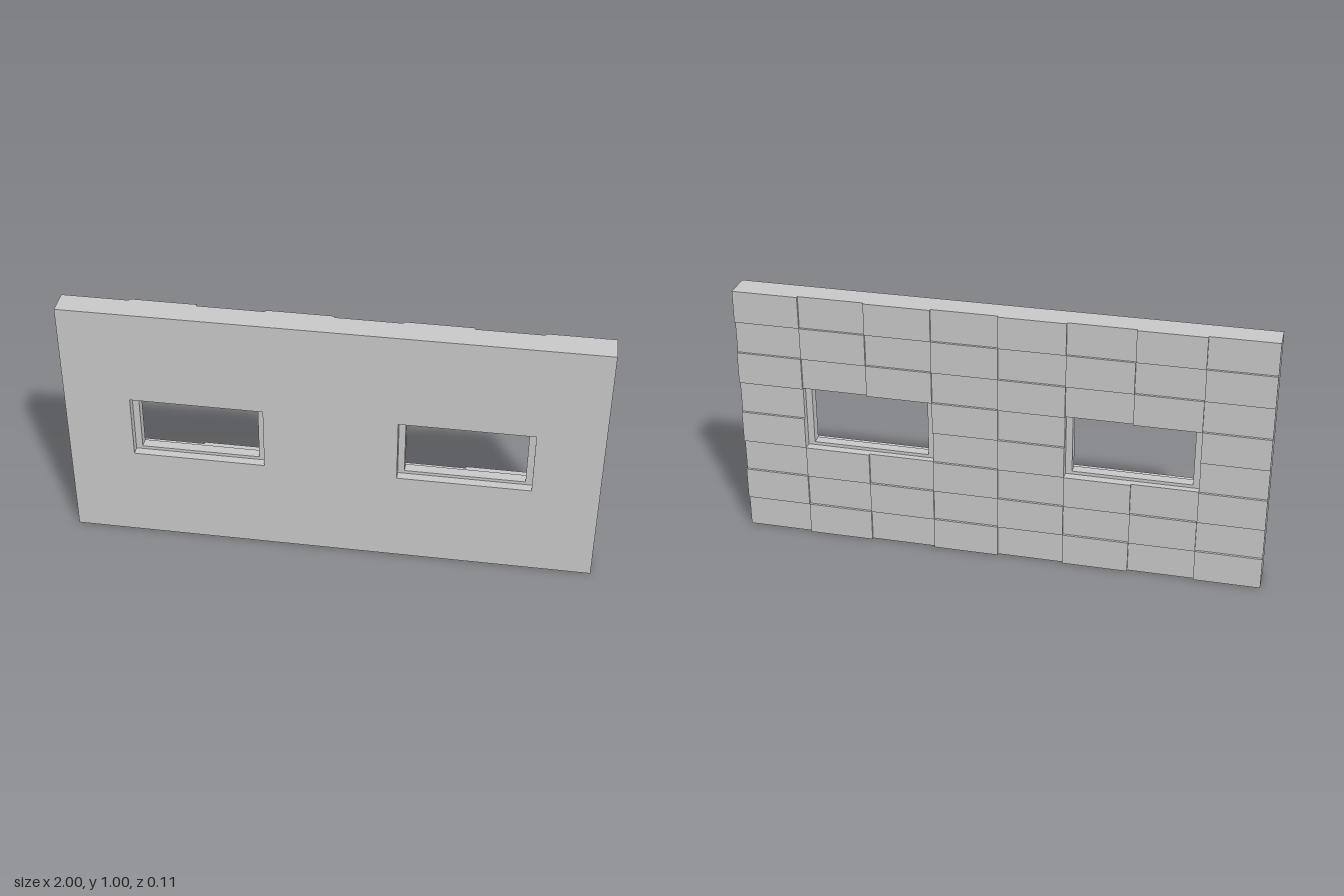
import * as THREE from 'three';

const material = new THREE.MeshStandardMaterial({ color: 0xcccccc, flatShading: true });
const FRONT = 0.054, RECESS = -0.045, BACK = -0.054;
const COLS = 8, ROWS = 8, W = 2 / COLS, H = 1 / ROWS;
const WINDOW_X = [-0.5, 0.5], WINDOW_Y = 0.5, WINDOW_W = 0.5, WINDOW_H = 0.25;

// Traces a rectangle centred on (x, y) into a Shape or Path
function rect(target, x, y, w, h) {
  target.moveTo(x - w / 2, y - h / 2);
  target.lineTo(x + w / 2, y - h / 2);
  target.lineTo(x + w / 2, y + h / 2);
  target.lineTo(x - w / 2, y + h / 2);
  target.closePath();
  return target;
}

function slab(name, shape, z0, z1) {
  const geometry = new THREE.ExtrudeGeometry(shape, { depth: z1 - z0, bevelEnabled: false });
  geometry.translate(0, 0, z0);
  const mesh = new THREE.Mesh(geometry, material);
  mesh.name = name;
  return mesh;
}

export function createModel() {
  const model = new THREE.Group();
  model.name = 'wallPanel';

  // Wall with two window openings
  const wallShape = rect(new THREE.Shape(), 0, 0.5, 2, 1);
  for (const x of WINDOW_X) {
    wallShape.holes.push(rect(new THREE.Path(), x, WINDOW_Y, WINDOW_W, WINDOW_H));
  }
  model.add(slab('wall', wallShape, RECESS, FRONT));

  // Raised blocks in a checkerboard on the back, skipping the windows
  const blocks = new THREE.Group();
  blocks.name = 'raisedBlocks';
  const blockGeometry = new THREE.BoxGeometry(W, H, RECESS - BACK);
  for (let r = 0; r < ROWS; r++) {
    for (let c = 0; c < COLS; c++) {
      const x = -1 + (c + 0.5) * W, y = (r + 0.5) * H;
      const inWindow = Math.abs(y - WINDOW_Y) < WINDOW_H / 2
        && WINDOW_X.some((wx) => Math.abs(x - wx) < WINDOW_W / 2);
      if ((r + c) % 2 || inWindow) continue;
      const block = new THREE.Mesh(blockGeometry, material);
      block.name = 'raisedBlock';
      block.position.set(x, y, (RECESS + BACK) / 2);
      blocks.add(block);
    }
  }
  model.add(blocks);

  // Narrow frame set halfway into each opening
  for (const x of WINDOW_X) {
    const frame = rect(new THREE.Shape(), x, WINDOW_Y, WINDOW_W, WINDOW_H);
    frame.holes.push(rect(new THREE.Path(), x, WINDOW_Y, WINDOW_W * 0.9, WINDOW_H * 0.9));
    model.add(slab('windowFrame', frame, -0.02, 0.02));
  }
  return model;
}
